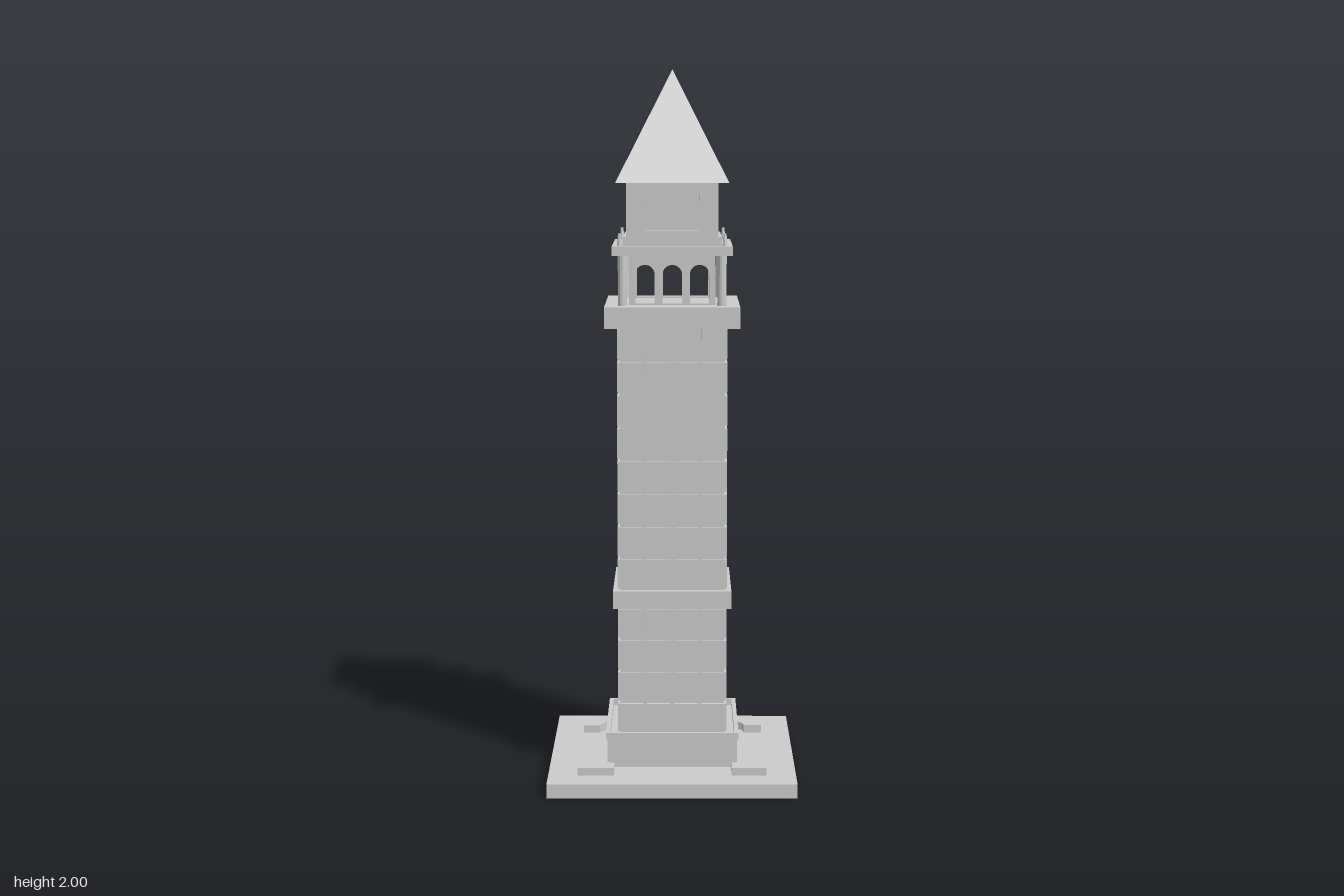
import * as THREE from 'three';

const material = new THREE.MeshStandardMaterial({ color: 0xcccccc, flatShading: true });

export function createModel() {
  const tower = new THREE.Group();
  tower.name = 'clockTower';
  tower.rotation.y = 0.389; // the tower stands turned on its plan

  const add = (name, geometry, parent = tower) => {
    const mesh = new THREE.Mesh(geometry, material);
    mesh.name = name;
    parent.add(mesh);
    return mesh;
  };
  // square slab of half width h between two heights
  const slab = (name, h, y0, y1) =>
    add(name, new THREE.BoxGeometry(2 * h, y1 - y0, 2 * h).translate(0, (y0 + y1) / 2, 0));
  // run a builder once for each of the four sides
  const fourSides = (name, build) => {
    for (let i = 0; i < 4; i++) {
      const side = new THREE.Group();
      side.name = name;
      side.rotation.y = (i * Math.PI) / 2;
      tower.add(side);
      build(side);
    }
  };
  const rect = (T, x0, y0, x1, y1) => {
    const s = new T();
    s.moveTo(x0, y0);
    s.lineTo(x1, y0);
    s.lineTo(x1, y1);
    s.lineTo(x0, y1);
    s.closePath();
    return s;
  };
  const extrude = (shape, depth) =>
    new THREE.ExtrudeGeometry(shape, { depth, bevelEnabled: false, curveSegments: 10 });

  // ground slab, plinth and its raised rim
  slab('groundSlab', 0.348, 0, 0.04);
  slab('plinth', 0.184, 0.04, 0.122);
  const rim = rect(THREE.Shape, -0.188, -0.188, 0.188, 0.188);
  rim.holes.push(rect(THREE.Path, -0.176, -0.176, 0.176, 0.176));
  add('plinthRim', extrude(rim, 0.018).rotateX(-Math.PI / 2).translate(0, 0.122, 0));

  // notched pads around the plinth corners
  const pad = new THREE.Shape([
    [0.163, 0.265], [0.163, 0.218], [0.207, 0.195], [0.213, 0.167], [0.265, 0.167], [0.265, 0.265],
  ].map(([x, y]) => new THREE.Vector2(x, y)));
  const padGeometry = extrude(pad, 0.022).rotateX(-Math.PI / 2).translate(0, 0.04, 0);
  fourSides('cornerPad', (side) => add('pad', padGeometry, side));

  // shaft: recessed core with a grid of proud panels on every side
  slab('shaftCore', 0.147, 0.12, 1.3);
  const columns = 4;
  const halfWidth = 0.154;
  const gap = 0.01;
  const pitch = (2 * halfWidth) / columns;
  const panelRows = (side, y0, y1, rows) => {
    const step = (y1 - y0) / rows;
    const panel = new THREE.BoxGeometry(pitch - gap, step - gap, 0.008);
    for (let r = 0; r < rows; r++) {
      for (let c = 0; c < columns; c++) {
        add('panel', panel, side).position.set(
          -halfWidth + (c + 0.5) * pitch, y0 + (r + 0.5) * step, 0.15);
      }
    }
  };
  fourSides('shaftPanels', (side) => {
    panelRows(side, 0.13, 0.495, 4);
    panelRows(side, 0.545, 1.29, 8);
  });
  slab('shaftBand', 0.167, 0.495, 0.545);
  slab('galleryCornice', 0.188, 1.29, 1.35);

  // open gallery: arched screens with round columns at the corners
  const screen = rect(THREE.Shape, -0.12, 0, 0.12, 0.14);
  for (const x of [-0.076, 0, 0.076]) {
    const arch = new THREE.Path();
    arch.moveTo(x - 0.027, 0.004);
    arch.lineTo(x + 0.027, 0.004);
    arch.lineTo(x + 0.027, 0.085);
    arch.absarc(x, 0.085, 0.027, 0, Math.PI, false);
    arch.closePath();
    screen.holes.push(arch);
  }
  const screenGeometry = extrude(screen, 0.012).translate(0, 1.35, 0.108);
  const column = new THREE.CylinderGeometry(0.013, 0.013, 0.14, 12).translate(0.138, 1.42, 0.138);
  const finial = new THREE.CylinderGeometry(0.004, 0.007, 0.036, 8).translate(0.146, 1.532, 0.146);
  fourSides('gallerySide', (side) => {
    add('archedScreen', screenGeometry, side);
    add('cornerColumn', column, side);
    add('finial', finial, side);
  });
  slab('galleryRoof', 0.167, 1.49, 1.516);
  slab('lanternStep', 0.137, 1.516, 1.54);

  // lantern: walls with framed recesses around a solid core
  slab('lanternCore', 0.117, 1.54, 1.69);
  const wall = rect(THREE.Shape, -0.128, 0, 0.128, 0.15);
  wall.holes.push(rect(THREE.Path, -0.076, 0.018, 0.076, 0.12));
  const wallGeometry = extrude(wall, 0.012).translate(0, 1.54, 0.116);
  const recessedPanel = new THREE.BoxGeometry(0.13, 0.082, 0.006).translate(0, 1.609, 0.119);
  fourSides('lanternSide', (side) => {
    add('lanternWall', wallGeometry, side);
    add('recessedPanel', recessedPanel, side);
  });

  // pyramid roof
  add('roof', new THREE.ConeGeometry(0.157 * Math.SQRT2, 0.31, 4, 1, false, Math.PI / 4)
    .translate(0, 1.845, 0));

  const model = new THREE.Group();
  model.name = 'towerModel';
  model.add(tower);
  return model;
}
